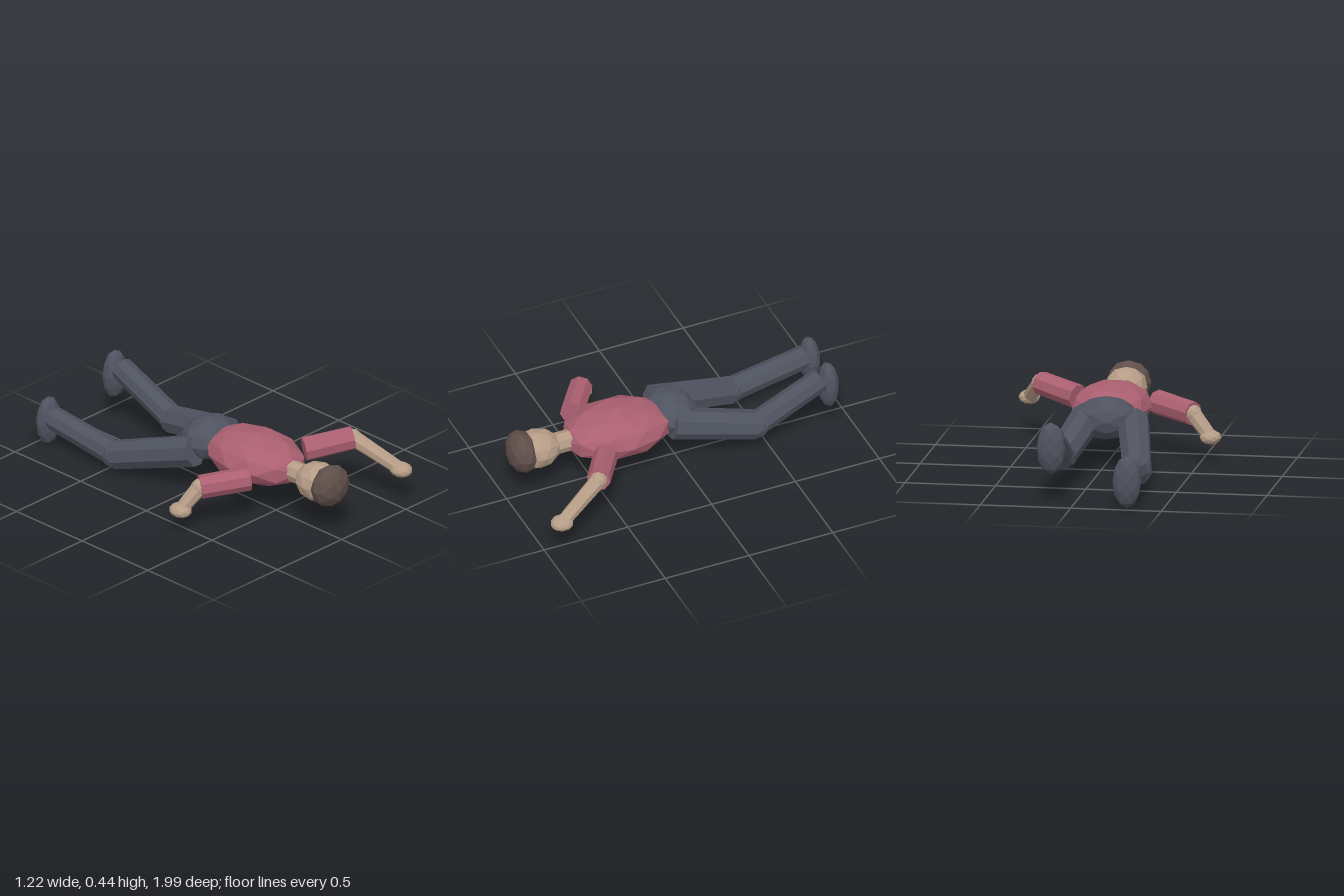
import * as THREE from 'three';

const flat = (name, color) => {
  const m = new THREE.MeshStandardMaterial({ color, flatShading: true });
  m.name = name;
  return m;
};

export function createModel() {
  const group = new THREE.Group();
  group.name = 'lyingFigure';
  const shirt = flat('shirtRed', 0xaa5f70);
  const trousers = flat('trouserSlate', 0x4f535f);
  const skin = flat('skinTan', 0xb59c86);
  const hair = flat('hairBrown', 0x5f4e49);
  const dark = flat('eyeDark', 0x2a2424);

  // Faceted ellipsoid
  const blob = (name, mat, pos, radii, parent = group, detail = 1) => {
    const mesh = new THREE.Mesh(new THREE.IcosahedronGeometry(1, detail), mat);
    mesh.name = name;
    mesh.position.set(...pos);
    mesh.scale.set(...radii);
    parent.add(mesh);
    return mesh;
  };

  // Eight-sided limb between two points
  const limb = (name, mat, from, to, rFrom, rTo, parent = group) => {
    const a = new THREE.Vector3(...from);
    const b = new THREE.Vector3(...to);
    const mesh = new THREE.Mesh(new THREE.CylinderGeometry(rTo, rFrom, a.distanceTo(b), 8), mat);
    mesh.name = name;
    mesh.position.copy(a).lerp(b, 0.5);
    mesh.quaternion.setFromUnitVectors(new THREE.Vector3(0, 1, 0), b.sub(a).normalize());
    parent.add(mesh);
    return mesh;
  };

  // Trunk
  blob('torso', shirt, [0, 0.285, 0.345], [0.222, 0.136, 0.325]);
  blob('pelvis', trousers, [-0.025, 0.29, 0.02], [0.175, 0.12, 0.147]).rotation.y = 0.17;
  limb('neck', skin, [0, 0.29, 0.58], [0, 0.29, 0.73], 0.06, 0.06);

  // Head, face down
  blob('head', skin, [0, 0.293, 0.82], [0.118, 0.109, 0.135]);
  blob('hair', hair, [0, 0.3, 0.912], [0.125, 0.12, 0.084]);
  for (const s of [-1, 1]) {
    blob(s > 0 ? 'leftEye' : 'rightEye', dark, [s * 0.043, 0.196, 0.845], [0.014, 0.012, 0.014], group, 0);
  }

  // Arms: shoulder, elbow, hand
  const arms = [
    ['left', [0.215, 0.297, 0.505], [0.445, 0.335, 0.65], [0.55, 0.197, 0.915]],
    ['right', [-0.22, 0.282, 0.512], [-0.447, 0.257, 0.358], [-0.552, 0.138, 0.312]],
  ];
  for (const [side, shoulder, elbow, hand] of arms) {
    const arm = new THREE.Group();
    arm.name = side + 'Arm';
    group.add(arm);
    limb('upperArm', shirt, shoulder, elbow, 0.068, 0.066, arm);
    blob('elbow', skin, elbow, [0.05, 0.05, 0.05], arm);
    limb('forearm', skin, elbow, hand, 0.046, 0.038, arm);
    blob('hand', skin, hand, [0.06, 0.04, 0.066], arm);
  }

  // Legs: hip, knee, ankle, foot
  const legs = [
    ['left', [0.085, 0.283, 0.05], [0.145, 0.17, -0.42], [0.135, 0.35, -0.815], [0.133, 0.3, -0.858]],
    ['right', [-0.17, 0.265, 0.05], [-0.275, 0.1, -0.45], [-0.298, 0.17, -0.915], [-0.3, 0.145, -0.94]],
  ];
  for (const [side, hip, knee, ankle, foot] of legs) {
    const leg = new THREE.Group();
    leg.name = side + 'Leg';
    group.add(leg);
    limb('thigh', trousers, hip, knee, 0.09, 0.082, leg);
    blob('knee', trousers, knee, [0.08, 0.08, 0.08], leg);
    limb('shin', trousers, knee, ankle, 0.07, 0.066, leg);
    blob('foot', trousers, foot, [0.08, 0.144, 0.057], leg);
  }

  return group;
}
